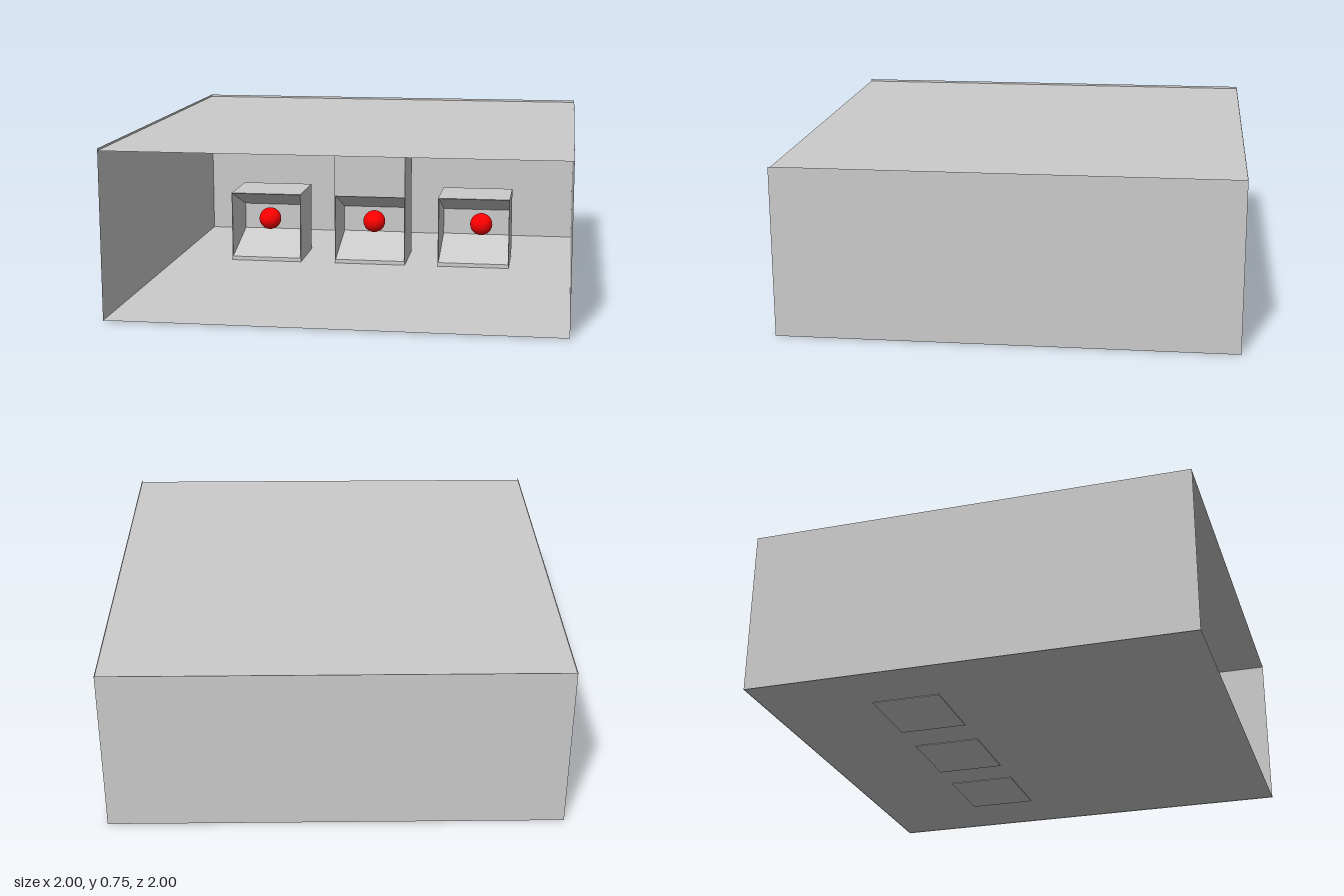
import * as THREE from 'three';

const grey = new THREE.MeshStandardMaterial({ color: 0xcccccc, side: THREE.DoubleSide, flatShading: true });
const red = new THREE.MeshStandardMaterial({ color: 0xff0000 });

const H = 0.755, ROOF = 0.745, FLOOR = 0.003;
const FRONT = -0.21, BACK = -0.52, W = 0.355, TOP = 0.35;

function add(parent, name, geometry, material, x = 0, y = 0, z = 0) {
  const mesh = new THREE.Mesh(geometry, material);
  mesh.name = name;
  mesh.position.set(x, y, z);
  parent.add(mesh);
  return mesh;
}

// Booth: block with a tapering mouth, closed by thin side panels, holding a ball
function createBooth(x, ballX) {
  const booth = new THREE.Group();
  booth.name = 'booth';
  const wall = 0.004;

  // Side profile drawn in (z, y): lip, sloped floor, back panel, sloped ceiling
  const profile = new THREE.Shape([
    [FRONT, 0], [FRONT, 0.022], [BACK + 0.01, 0.11], [BACK + 0.01, 0.24],
    [FRONT, TOP - 0.002], [FRONT, TOP], [BACK, TOP], [BACK, 0],
  ].map(([z, y]) => new THREE.Vector2(-z, y)));
  const body = new THREE.ExtrudeGeometry(profile, { depth: W - 2 * wall, bevelEnabled: false });
  body.rotateY(Math.PI / 2);
  add(booth, 'boothBody', body, grey, x - W / 2 + wall);

  for (const s of [-1, 1]) {
    add(booth, 'boothSide', new THREE.BoxGeometry(wall, TOP, FRONT - BACK), grey,
      x + s * (W - wall) / 2, TOP / 2, (FRONT + BACK) / 2);
  }
  add(booth, 'ball', new THREE.SphereGeometry(0.056, 32, 20), red, ballX, 0.193, (FRONT + BACK) / 2);
  return booth;
}

export function createModel() {
  const model = new THREE.Group();
  model.name = 'room';

  // Room shell, open at the front; the walls stand slightly above the roof
  for (const [name, y] of [['floor', FLOOR], ['roof', ROOF]]) {
    add(model, name, new THREE.PlaneGeometry(2, 2).rotateX(-Math.PI / 2), grey, 0, y, 0);
  }
  add(model, 'backWall', new THREE.PlaneGeometry(2, H), grey, 0, H / 2, -1);
  for (const s of [-1, 1]) {
    add(model, s > 0 ? 'leftWall' : 'rightWall',
      new THREE.PlaneGeometry(2, H).rotateY(s * Math.PI / 2), grey, s, H / 2, 0);
  }

  // Three booths in a row
  for (const [x, ballX] of [[-0.532, -0.543], [-0.003, 0], [0.518, 0.547]]) {
    model.add(createBooth(x, ballX));
  }

  // Block stacked on the middle booth
  add(model, 'upperBlock', new THREE.BoxGeometry(W, 0.35, FRONT - BACK), grey,
    -0.003, TOP + 0.172, (FRONT + BACK) / 2);
  return model;
}
